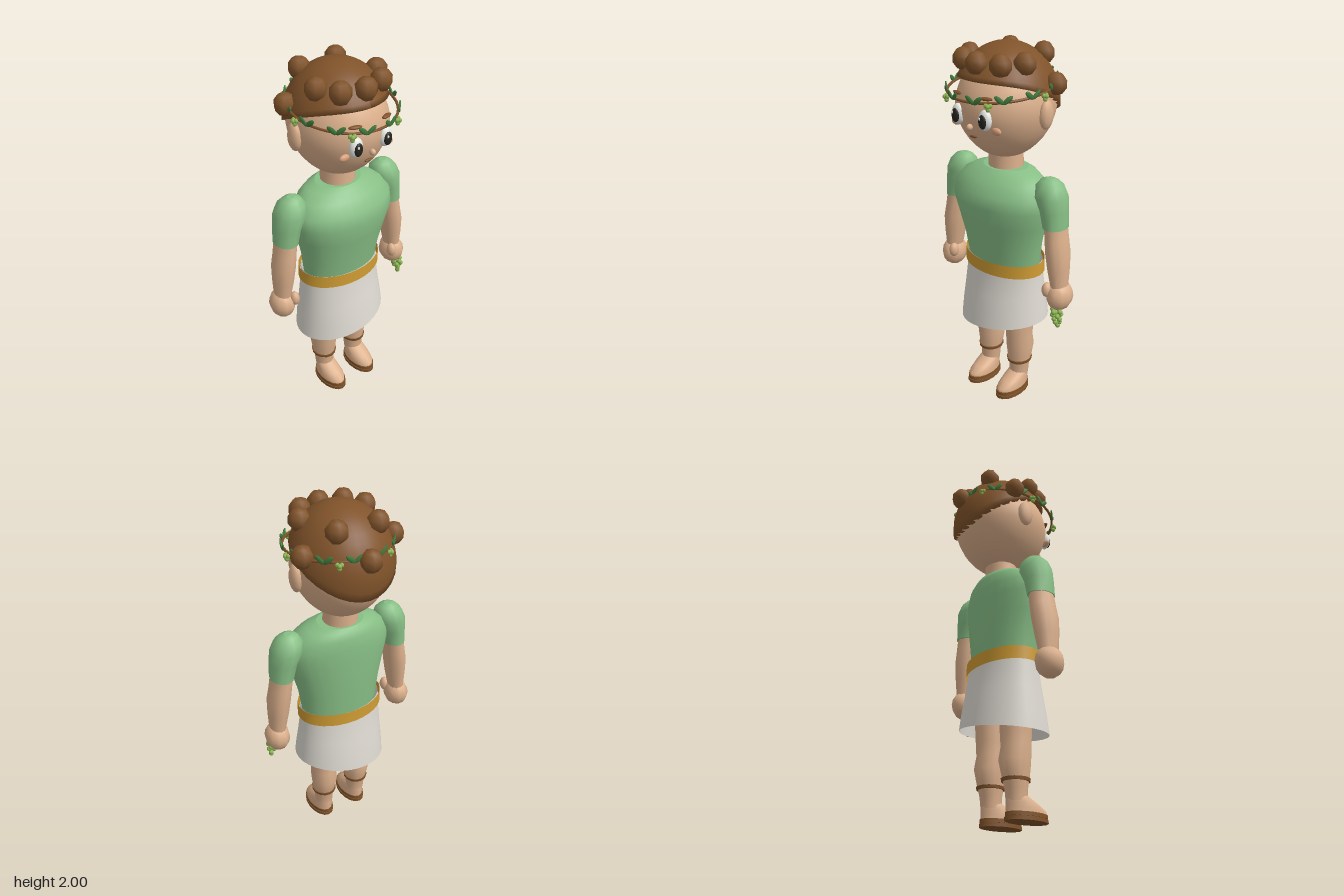
import * as THREE from 'three';

const mat = (name, color, side = THREE.FrontSide) => {
  const m = new THREE.MeshStandardMaterial({ color, side });
  m.name = name;
  return m;
};

export function createModel() {
  const root = new THREE.Group();
  root.name = 'figure';
  const skin = mat('skin', 0xdcb08c);
  const green = mat('tunic green', 0x88bf86);
  const cloth = mat('skirt white', 0xdedad2, THREE.DoubleSide);
  const gold = mat('belt gold', 0xcf9c33, THREE.DoubleSide);
  const brown = mat('brown', 0x80532a, THREE.DoubleSide);
  const leafGreen = mat('leaf green', 0x3f7a3c);
  const fruit = mat('grape green', 0x8cb553);
  const white = mat('eye white', 0xeeeeea);
  const dark = mat('pupil dark', 0x24231f);
  const blush = mat('blush', 0xd6a07c);

  const add = (name, geo, material, parent = root) => {
    const m = new THREE.Mesh(geo, material);
    m.name = name;
    parent.add(m);
    return m;
  };
  const ball = (name, material, p, r, ws = 16, hs = 12, parent = root) => {
    const m = add(name, new THREE.SphereGeometry(1, ws, hs), material, parent);
    m.position.set(...p);
    m.scale.set(...r);
    return m;
  };

  // Elliptical sections from bottom to top: [y, centreX, radiusX, zFront, zBack]
  const loft = (rows, segs, capped = true) => {
    const pos = [], idx = [];
    const ring = ([y, cx, rx, zf, zb]) => {
      const start = pos.length / 3;
      for (let j = 0; j < segs; j++) {
        const a = (j / segs) * Math.PI * 2;
        pos.push(cx + rx * Math.sin(a), y, (zf + zb) / 2 + ((zf - zb) / 2) * Math.cos(a));
      }
      return start;
    };
    const starts = rows.map(ring);
    for (let i = 0; i < rows.length - 1; i++) {
      for (let j = 0; j < segs; j++) {
        const k = (j + 1) % segs, a = starts[i], b = starts[i + 1];
        idx.push(a + j, a + k, b + k, a + j, b + k, b + j);
      }
    }
    if (capped) {
      [rows[0], rows[rows.length - 1]].forEach((row, top) => {
        const s = ring(row), c = pos.length / 3;
        pos.push(row[1], row[0], (row[3] + row[4]) / 2);
        for (let j = 0; j < segs; j++) {
          const k = (j + 1) % segs;
          if (top) idx.push(s + j, s + k, c);
          else idx.push(s + k, s + j, c);
        }
      });
    }
    const g = new THREE.BufferGeometry();
    g.setAttribute('position', new THREE.Float32BufferAttribute(pos, 3));
    g.setIndex(idx);
    g.computeVertexNormals();
    return g;
  };

  // Head, narrowing towards the chin
  const headGeo = new THREE.SphereGeometry(1, 28, 20);
  const hp = headGeo.attributes.position;
  for (let i = 0; i < hp.count; i++) {
    const y = hp.getY(i), t = y < 0 ? 1 + 0.1 * y : 1;
    hp.setXYZ(i, hp.getX(i) * 0.25 * t, 1.68 + y * 0.27, hp.getZ(i) * 0.268 * t);
  }
  headGeo.computeVertexNormals();
  add('head', headGeo, skin);
  add('neck', loft([[1.33, 0, 0.095, 0.095, -0.09], [1.46, 0, 0.09, 0.09, -0.09]], 16), skin);

  // Face
  for (const s of [-1, 1]) {
    ball('ear', skin, [s * 0.252, 1.67, -0.008], [0.03, 0.075, 0.045], 10, 8);
    ball('eyeWhite', white, [s * 0.09, 1.668, 0.252], [0.037, 0.052, 0.026]);
    ball('pupil', dark, [s * 0.09, 1.664, 0.272], [0.024, 0.035, 0.013]);
    ball('eyeGlint', white, [s * 0.09 - 0.009, 1.68, 0.283], [0.006, 0.008, 0.004], 8, 6);
    ball('cheek', blush, [s * 0.135, 1.615, 0.223], [0.03, 0.019, 0.014], 12, 8);
    ball('eyebrow', brown, [s * 0.095, 1.772, 0.25], [0.036, 0.009, 0.014], 10, 6).rotation.y = s * 0.3;
  }
  ball('nose', skin, [0, 1.62, 0.267], [0.015, 0.017, 0.018], 10, 8);
  ball('mouth', brown, [0, 1.567, 0.241], [0.026, 0.007, 0.008], 10, 6);

  // Hair shell: hemline high at the brow and low at the nape, with a rim turned inwards
  const hairRows = 13;
  const hairGeo = new THREE.SphereGeometry(1, 32, hairRows);
  const hair = hairGeo.attributes.position;
  for (let i = 0; i < hair.count; i++) {
    const row = Math.floor(i / 33), a = ((i % 33) / 32) * Math.PI * 2;
    const c = Math.cos(a);
    const edge = Math.acos((1.77 + 0.12 * c - 0.05 * c * c - 1.69) / 0.31);
    const th = (Math.min(row, hairRows - 1) / (hairRows - 1)) * edge;
    const r = Math.sin(th) * (row === hairRows ? 0.84 : 1);
    hair.setXYZ(i, Math.sin(a) * r * 0.268, 1.69 + 0.308 * Math.cos(th), c * r * 0.285);
  }
  hairGeo.computeVertexNormals();
  add('hair', hairGeo, brown);
  const curls = [[0.12, 1.92, 0.175], [0.18, 1.92, 0.07], [0.25, 1.81, -0.08], [0.11, 1.93, -0.155]];
  const curl = (x, y, z) => ball('curl', brown, [x, y, z], [0.058, 0.058, 0.056], 7, 5);
  curl(0, 1.92, 0.21);
  curl(0, 1.81, -0.275);
  for (const [x, y, z] of curls) for (const s of [-1, 1]) curl(s * x, y, z);

  // Wreath: tilted vine with leaf pairs and small fruit clusters
  const vineAt = (a) => {
    const z = 0.03 + 0.282 * Math.cos(a);
    return new THREE.Vector3(0.264 * Math.sin(a), 1.79 - 0.1 * z, z);
  };
  const vinePts = Array.from({ length: 24 }, (_, i) => vineAt((i / 24) * Math.PI * 2));
  const vine = new THREE.CatmullRomCurve3(vinePts, true);
  add('wreathVine', new THREE.TubeGeometry(vine, 48, 0.007, 6, true), brown);
  for (let i = 0; i < 12; i++) {
    const a = ((i + 0.5) / 12) * Math.PI * 2;
    const node = new THREE.Group();
    node.name = 'wreathLeaves';
    node.position.copy(vineAt(a));
    node.rotation.y = a;
    root.add(node);
    for (const s of [-1, 1]) {
      const leaf = ball('leaf', leafGreen, [s * 0.02, 0.012, 0.006], [0.013, 0.03, 0.006], 6, 5, node);
      leaf.rotation.z = -s * 0.85;
    }
  }
  for (let i = 0; i < 6; i++) {
    const a = ((i + 0.5) / 6) * Math.PI * 2;
    const cluster = new THREE.Group();
    cluster.name = 'wreathFruit';
    cluster.position.copy(vineAt(a));
    cluster.rotation.y = a;
    root.add(cluster);
    for (const [x, y, z] of [[-0.01, -0.01, 0.008], [0.01, -0.01, 0.008], [0, -0.012, 0.018], [0, -0.028, 0.01]])
      ball('fruit', fruit, [x, y, z], [0.012, 0.012, 0.012], 7, 5, cluster);
  }

  // Tunic, skirt with a slanting hem, and belt
  add('tunic', loft([
    [0.82, 0, 0.222, 0.165, -0.13], [0.95, 0, 0.238, 0.185, -0.138], [1.08, 0, 0.27, 0.21, -0.142],
    [1.18, 0, 0.298, 0.228, -0.143], [1.25, 0, 0.292, 0.215, -0.142], [1.31, 0, 0.25, 0.17, -0.135],
    [1.345, 0, 0.19, 0.13, -0.12], [1.362, 0, 0.13, 0.105, -0.1],
  ], 28), green);
  const skirtGeo = loft([
    [0.46, 0, 0.268, 0.23, -0.2], [0.55, 0, 0.26, 0.217, -0.19], [0.65, 0, 0.248, 0.198, -0.173],
    [0.75, 0, 0.239, 0.178, -0.156], [0.85, 0, 0.234, 0.17, -0.148],
  ], 32, false);
  const sp = skirtGeo.attributes.position;
  for (let i = 0; i < sp.count; i++) {
    const y = sp.getY(i);
    sp.setY(i, y + 0.16 * sp.getX(i) * Math.max(0, (0.78 - y) / 0.32));
  }
  skirtGeo.computeVertexNormals();
  add('skirt', skirtGeo, cloth);
  add('belt', loft([[0.787, 0, 0.249, 0.185, -0.16], [0.86, 0, 0.247, 0.184, -0.159]], 32, false), gold);

  for (const s of [-1, 1]) {
    // Arm, sleeve and hand
    add('sleeve', loft([
      [1.11, s * 0.347, 0.063, 0.09, -0.065], [1.2, s * 0.333, 0.073, 0.094, -0.07],
      [1.27, s * 0.312, 0.088, 0.1, -0.08], [1.32, s * 0.303, 0.076, 0.083, -0.064],
      [1.35, s * 0.3, 0.05, 0.055, -0.035], [1.362, s * 0.3, 0.02, 0.028, -0.01],
    ], 12), green);
    add('arm', loft([
      [0.77, s * 0.388, 0.042, 0.07, -0.035], [0.88, s * 0.378, 0.055, 0.085, -0.05],
      [0.97, s * 0.37, 0.061, 0.093, -0.06], [1.05, s * 0.357, 0.058, 0.088, -0.06],
      [1.13, s * 0.347, 0.056, 0.083, -0.058],
    ], 12), skin);
    ball('hand', skin, [s * 0.392, 0.725, 0.018], [0.068, 0.083, 0.08], 10, 8);
    ball('thumb', skin, [s * 0.345, 0.763, 0.07], [0.026, 0.042, 0.03], 10, 8);

    // Leg, foot and sandal
    const x = s * 0.111;
    add('leg', loft([
      [0.09, x, 0.052, 0.07, -0.04], [0.15, x, 0.056, 0.07, -0.046], [0.22, x, 0.067, 0.082, -0.064],
      [0.29, x, 0.075, 0.09, -0.08], [0.36, x, 0.073, 0.093, -0.066], [0.43, x, 0.077, 0.097, -0.07],
      [0.6, x, 0.085, 0.105, -0.08], [0.75, x, 0.085, 0.1, -0.08],
    ], 14), skin);
    add('foot', loft([
      [0.03, x, 0.063, 0.185, -0.042], [0.058, x, 0.063, 0.183, -0.042], [0.085, x, 0.058, 0.14, -0.042],
      [0.11, x, 0.053, 0.09, -0.04], [0.125, x, 0.045, 0.065, -0.035],
    ], 16), skin);
    add('ankleStrap', loft([[0.187, x, 0.069, 0.084, -0.064], [0.203, x, 0.071, 0.086, -0.066]], 14), brown);
    add('sandalSole', loft([[0, x, 0.07, 0.195, -0.05], [0.018, x, 0.07, 0.195, -0.05]], 16), brown);
    add('sandalFootbed', loft([[0.021, x, 0.067, 0.192, -0.047], [0.04, x, 0.067, 0.192, -0.047]], 16), brown);
    add('sandalCore', loft([[0.01, x, 0.064, 0.188, -0.045], [0.03, x, 0.064, 0.188, -0.045]], 16), brown);
  }

  // Bunch of grapes hanging from the left hand, narrowing downwards
  [[4, 0.655, 0.024], [4, 0.632, 0.022], [3, 0.61, 0.017], [2, 0.588, 0.011], [1, 0.57, 0]].forEach(([n, y, r], row) => {
    for (let i = 0; i < n; i++) {
      const a = (i / n) * Math.PI * 2 + row * 0.8;
      ball('grape', fruit, [0.405 + row * 0.003 + r * Math.sin(a), y, 0.06 + r * Math.cos(a)], [0.014, 0.014, 0.014], 8, 6);
    }
  });
  return root;
}
